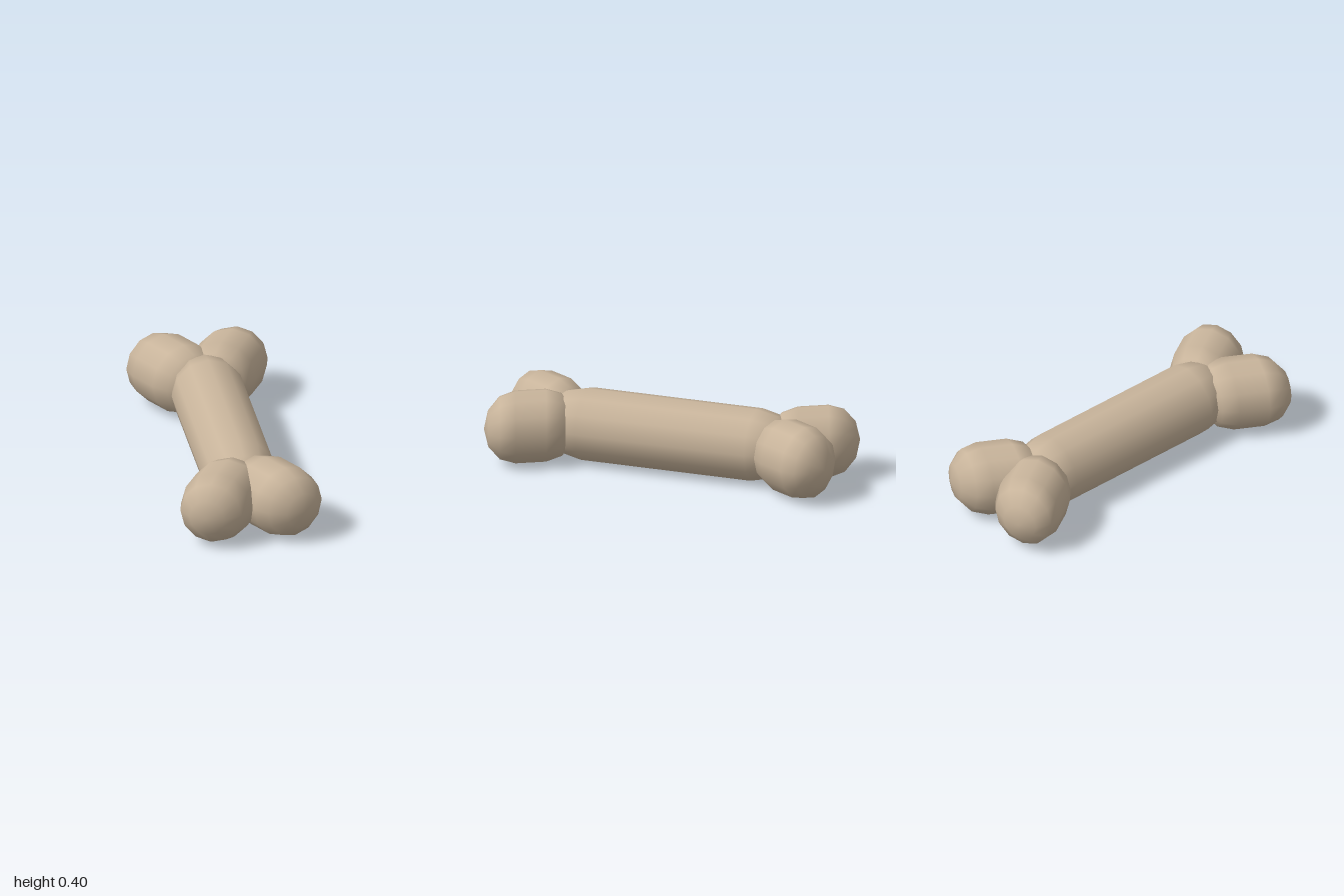
import * as THREE from 'three';

const RADIUS = 0.202;

// Twelve-sided capsule lying along z, turned about y, then stretched along z
function capsule(length, turn, stretch) {
  return new THREE.CapsuleGeometry(RADIUS, length, 3, 12, 1)
    .rotateX(Math.PI / 2)
    .rotateY(turn)
    .scale(1, 1, stretch);
}

export function createModel() {
  const group = new THREE.Group();
  group.name = 'bone';
  const material = new THREE.MeshStandardMaterial({ color: 0xc8b49b });

  const add = (name, geometry, x, z) => {
    const mesh = new THREE.Mesh(geometry, material);
    mesh.name = name;
    mesh.position.set(x, RADIUS, z);
    group.add(mesh);
  };

  // Straight middle, with rounded ends hidden between the knobs
  add('shaft', capsule(0.815, 0, 1.2), 0, 0);

  // Two knobs splayed outward at each end
  const splay = THREE.MathUtils.degToRad(25.5);
  for (const [end, sz] of [['front', 1], ['back', -1]]) {
    for (const [side, sx] of [['Left', 1], ['Right', -1]]) {
      const turn = Math.atan2(sx * Math.sin(splay), sz * Math.cos(splay));
      add(`${end}${side}Knob`, capsule(0.197, turn, 0.82), sx * 0.145, sz * 0.763);
    }
  }
  return group;
}
